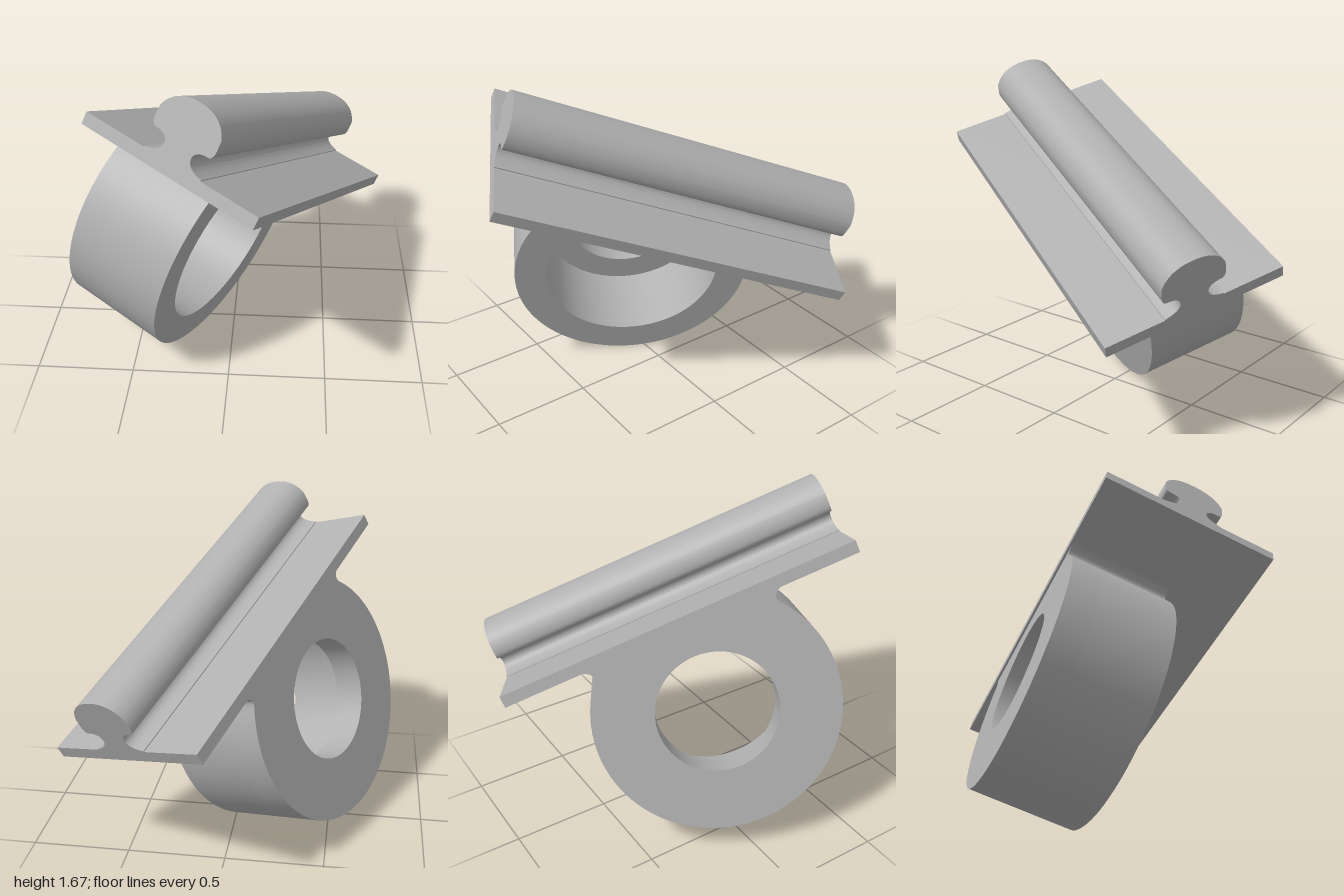
import * as THREE from 'three';
import { toCreasedNormals } from 'three/addons/utils/BufferGeometryUtils.js';

const grey = new THREE.MeshStandardMaterial({ color: 0xb0b0b0 });
grey.name = 'grey';

function extrude(name, shape, depth) {
  const geometry = new THREE.ExtrudeGeometry(shape, { depth, bevelEnabled: false, curveSegments: 48 });
  const mesh = new THREE.Mesh(toCreasedNormals(geometry, 0.5), grey);
  mesh.name = name;
  return mesh;
}

// Ring outline, flared where it meets the underside of the plate
function ringShape(holeRadius) {
  const cy = -0.51, R = 0.615, a = 0.676;
  const shape = new THREE.Shape();
  shape.moveTo(-0.53, -0.055);
  shape.quadraticCurveTo(-0.45, -0.08, -R * Math.cos(a), cy + R * Math.sin(a));
  shape.absarc(0, cy, R, Math.PI - a, 2 * Math.PI + a, false);
  shape.quadraticCurveTo(0.45, -0.08, 0.53, -0.055);
  shape.closePath();
  const hole = new THREE.Path();
  hole.absarc(0, cy, holeRadius, 0, Math.PI * 2, true);
  shape.holes.push(hole);
  return shape;
}

export function createModel() {
  const group = new THREE.Group();
  group.name = 'railClamp';

  // Flat mounting plate
  const plateShape = new THREE.Shape();
  plateShape.moveTo(-0.455, -0.06);
  plateShape.lineTo(0.455, -0.06);
  plateShape.lineTo(0.455, 0);
  plateShape.lineTo(-0.455, 0);
  plateShape.closePath();
  const plate = extrude('plate', plateShape, 1.82);
  plate.position.z = -0.91;
  group.add(plate);

  // Rail with a flared foot, narrow neck and domed head
  const rail = new THREE.Shape();
  rail.moveTo(-0.14, -0.01);
  rail.lineTo(0.16, -0.01);
  rail.lineTo(0.16, 0.005);
  rail.quadraticCurveTo(0.08, 0.02, 0.08, 0.065);
  rail.quadraticCurveTo(0.085, 0.105, 0.15, 0.105);
  rail.quadraticCurveTo(0.17, 0.11, 0.17, 0.15);
  rail.lineTo(0.168, 0.195);
  rail.bezierCurveTo(0.14, 0.265, 0.08, 0.29, 0.01, 0.29);
  rail.bezierCurveTo(-0.06, 0.29, -0.12, 0.265, -0.148, 0.195);
  rail.lineTo(-0.15, 0.15);
  rail.quadraticCurveTo(-0.15, 0.11, -0.13, 0.105);
  rail.quadraticCurveTo(-0.065, 0.105, -0.06, 0.065);
  rail.quadraticCurveTo(-0.06, 0.02, -0.14, 0.005);
  rail.closePath();
  const railMesh = extrude('rail', rail, 1.82);
  railMesh.position.z = -0.91;
  group.add(railMesh);

  // Wide-bored ring and the narrower flange behind it
  for (const [name, radius, start, depth] of [
    ['ringBody', 0.45, -0.294, 0.39],
    ['ringFlange', 0.305, -0.444, 0.15],
  ]) {
    const mesh = extrude(name, ringShape(radius), depth);
    mesh.rotation.y = Math.PI / 2;
    mesh.position.x = start;
    group.add(mesh);
  }

  // Tilt the whole piece so it rests on the rim of the ring
  const across = new THREE.Vector3(0.846, -0.275, 0.462).normalize();
  const along = new THREE.Vector3(-0.352, 0.363, 0.863).normalize();
  const up = along.clone().cross(across).normalize();
  along.crossVectors(across, up);
  group.quaternion.setFromRotationMatrix(new THREE.Matrix4().makeBasis(across, up, along));
  group.position.set(0.1, 1.073, 0);

  const model = new THREE.Group();
  model.name = 'model';
  model.add(group);
  return model;
}
